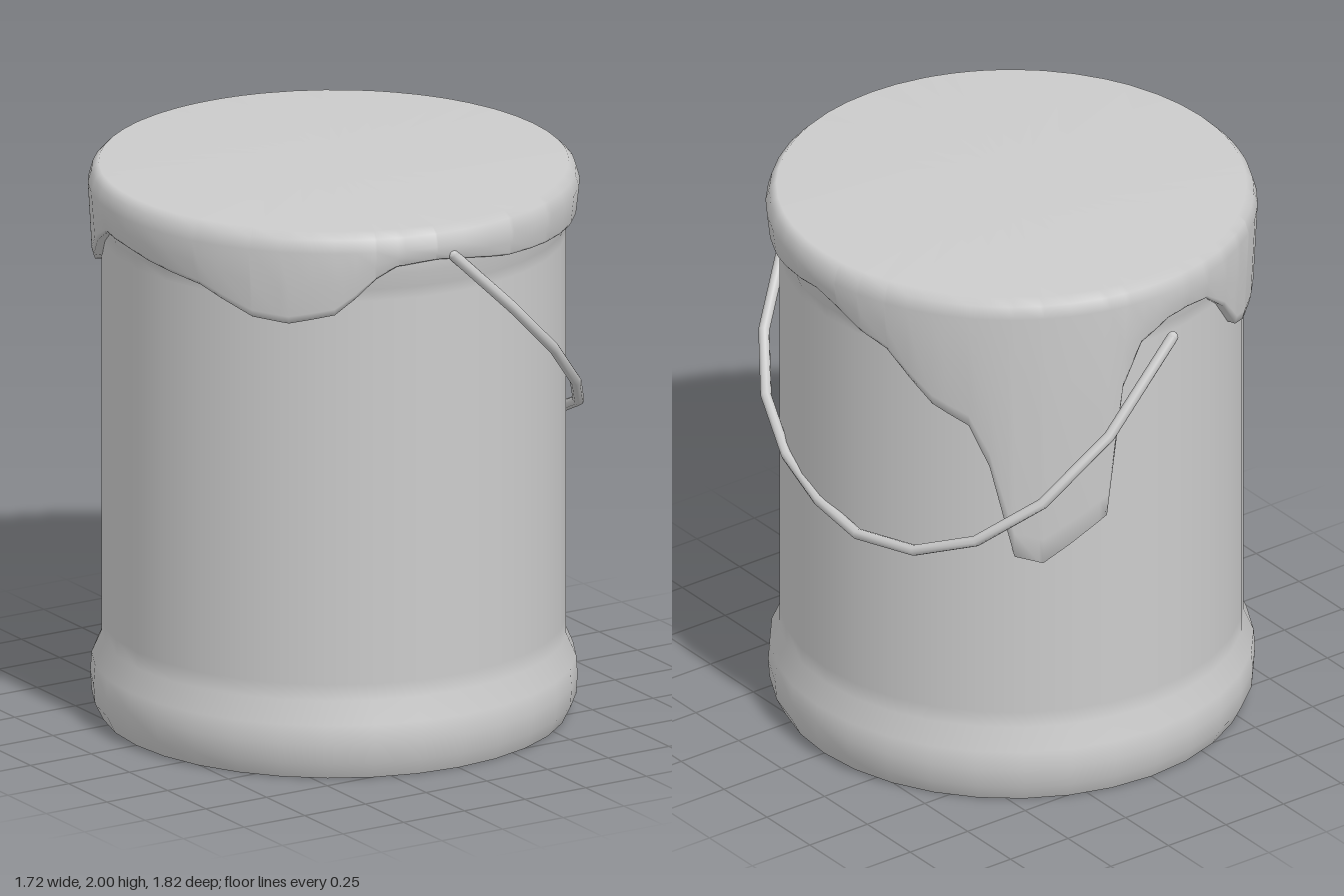
import * as THREE from 'three';

const metal = new THREE.MeshStandardMaterial({ color: 0xcccccc });
const thin = new THREE.MeshStandardMaterial({ color: 0xcccccc, side: THREE.DoubleSide });

function part(name, geometry, material = metal) {
  const mesh = new THREE.Mesh(geometry, material);
  mesh.name = name;
  return mesh;
}

// Lower edge of the paint: [degrees from the front towards +x, height]
const drips = [
  [0, 1.87], [14, 1.84], [28, 1.83], [45, 1.82], [70, 1.83], [90, 1.86], [97, 1.83], [104, 1.78],
  [112, 1.74], [118, 1.65], [124, 1.56], [133, 1.49], [138, 1.33], [144, 0.97], [151, 0.94],
  [167, 1.1], [171, 1.6], [176, 1.76], [184, 1.82], [190, 1.83], [197, 1.82], [205, 1.73],
  [212, 1.61], [218, 1.585], [225, 1.59], [231, 1.61], [239, 1.66], [250, 1.77], [258, 1.83],
  [270, 1.82], [285, 1.79], [294, 1.77], [308, 1.68], [317, 1.665], [328, 1.7], [333, 1.76],
  [338, 1.83], [343, 1.87], [353, 1.88], [360, 1.87],
];

function edgeHeight(deg) {
  const k = Math.max(1, drips.findIndex(d => d[0] >= deg));
  const [a0, y0] = drips[k - 1], [a1, y1] = drips[k];
  return THREE.MathUtils.mapLinear(deg, a0, a1, y0, y1);
}

// Paint shell: a cap, a rounded shoulder and a skirt that follows the drip edge
function paintGeometry() {
  const angles = new Set(drips.map(d => d[0] % 360));
  for (let a = 0; a < 360; a += 7.5) angles.add(a);
  const cols = [...angles].sort((a, b) => a - b);
  const n = cols.length, rows = 7;
  const pos = [0, 2, 0], index = [];
  for (const deg of cols) {
    const yb = edgeHeight(deg);
    const rb = THREE.MathUtils.mapLinear(yb, 0.94, 1.88, 0.83, 0.847);
    const mid = t => [THREE.MathUtils.lerp(0.858, rb, t), THREE.MathUtils.lerp(1.93, yb, t)];
    const section = [[0.82, 2], [0.845, 1.975], [0.858, 1.93], mid(0.5), mid(0.9), [rb - 0.006, yb], [0.8, yb + 0.005]];
    const a = THREE.MathUtils.degToRad(deg);
    for (const [r, y] of section) pos.push(r * Math.sin(a), y, r * Math.cos(a));
  }
  for (let i = 0; i < n; i++) {
    const p = 1 + i * rows, q = 1 + ((i + 1) % n) * rows;
    index.push(0, p, q);
    for (let j = 0; j < rows - 1; j++) {
      index.push(p + j, p + j + 1, q + j + 1, p + j, q + j + 1, q + j);
    }
  }
  const g = new THREE.BufferGeometry();
  g.setAttribute('position', new THREE.Float32BufferAttribute(pos, 3));
  g.setIndex(index);
  g.computeVertexNormals();
  return g;
}

export function createModel() {
  const model = new THREE.Group();
  model.name = 'paintBucket';

  // Bucket wall with a flared foot and rim
  const profile = [
    [0.815, 0], [0.845, 0.06], [0.85, 0.13], [0.845, 0.2], [0.81, 0.28], [0.81, 0.34],
    [0.81, 1.74], [0.81, 1.78], [0.832, 1.84], [0.835, 1.93], [0.81, 1.98],
  ].map(([r, y]) => new THREE.Vector2(r, y));
  model.add(part('bucketWall', new THREE.LatheGeometry(profile, 32), thin));

  const bottom = part('bucketBottom', new THREE.CircleGeometry(0.815, 32));
  bottom.rotation.x = Math.PI / 2;
  model.add(bottom);

  model.add(part('paint', paintGeometry(), thin));

  // Wire handle, hanging to one side
  const points = [
    [-0.04, 1.89, 0.84], [0.18, 1.67, 0.885], [0.385, 1.47, 0.83], [0.555, 1.29, 0.7],
    [0.68, 1.15, 0.52], [0.77, 1.05, 0.28], [0.81, 0.99, 0.04], [0.82, 0.965, -0.2],
    [0.77, 1.0, -0.465], [0.655, 1.09, -0.67], [0.48, 1.25, -0.825], [0.24, 1.47, -0.893],
    [-0.05, 1.76, -0.872],
  ].map(p => new THREE.Vector3(...p));
  const path = new THREE.CatmullRomCurve3(points);
  // Put one ring exactly on each bend
  path.getPointAt = t => path.getPoint(t);
  path.getTangentAt = t => path.getTangent(t);
  const handle = new THREE.Group();
  handle.name = 'handle';
  handle.add(part('handleWire', new THREE.TubeGeometry(path, points.length - 1, 0.02, 8)));
  for (const p of [points[0], points[points.length - 1]]) {
    const tip = part('handleTip', new THREE.SphereGeometry(0.02, 8, 6));
    tip.position.copy(p);
    handle.add(tip);
  }
  model.add(handle);

  return model;
}
